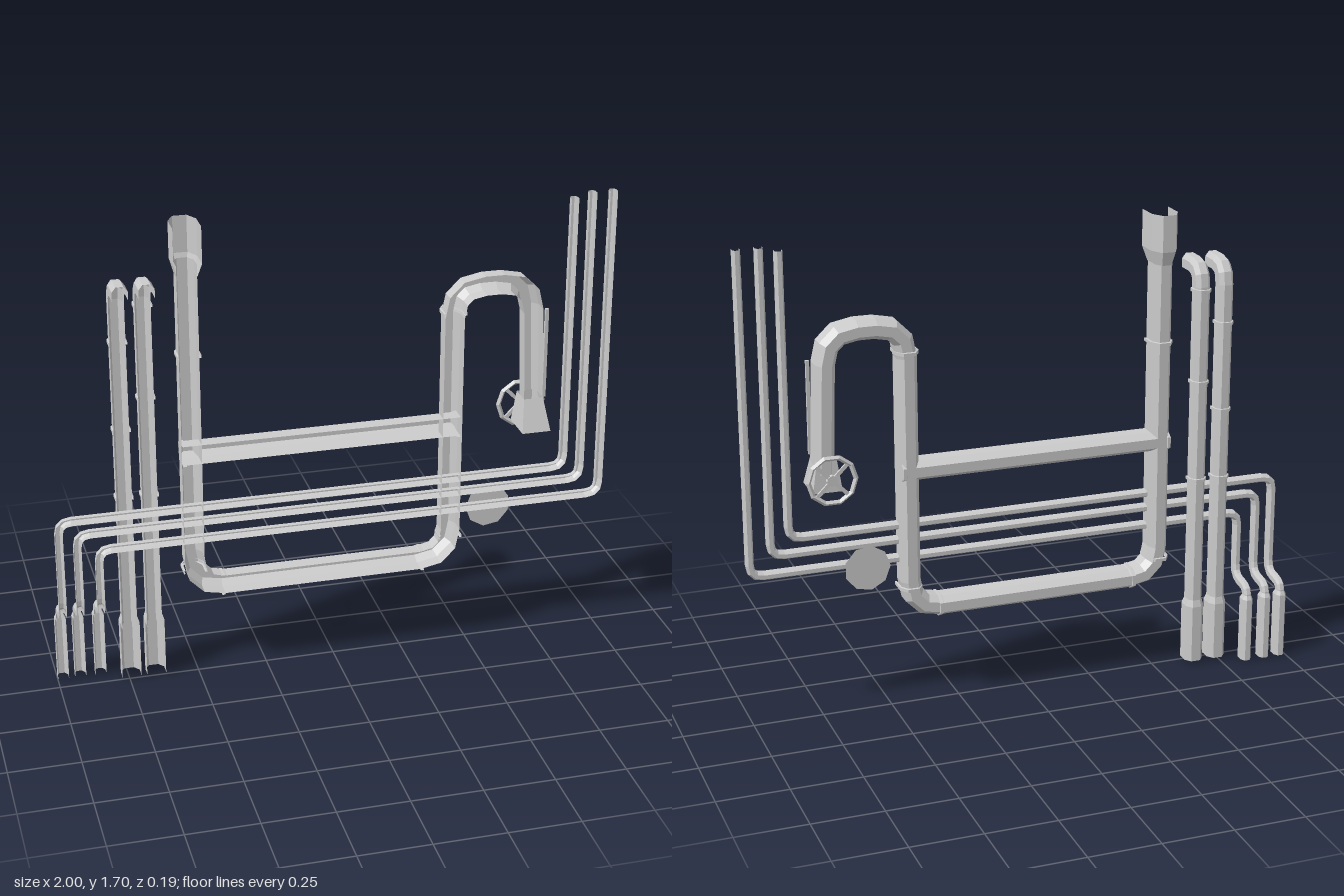
import * as THREE from 'three';

const material = new THREE.MeshStandardMaterial({ color: 0xcccccc, flatShading: true, side: THREE.DoubleSide });
const V = (x, y, z) => new THREE.Vector3(x, y, z);

function add(parent, name, geometry) {
  const mesh = new THREE.Mesh(geometry, material);
  mesh.name = name;
  parent.add(mesh);
  return mesh;
}

// Half-octagon profile: half width w, half depth h, open towards the front
const channel = (w, h, c = 0.5) => [[-w, -h], [-w, h * 0.3], [-w * c, h], [w * c, h], [w, h * 0.3], [w, -h]];

// Replaces each inner corner of a polyline by a short faceted bend
function rounded(points, radius, steps = 3) {
  const out = [points[0]];
  for (let i = 1; i < points.length - 1; i++) {
    const p = points[i];
    const toward = (q) => p.clone().add(q.clone().sub(p).setLength(Math.min(radius, p.distanceTo(q) * 0.49)));
    const curve = new THREE.QuadraticBezierCurve3(toward(points[i - 1]), p, toward(points[i + 1]));
    out.push(...curve.getPoints(steps));
  }
  out.push(points[points.length - 1]);
  return out;
}

// Sweeps a profile along a path with mitred joints; scales widen single rings
function sweep(path, profile, scales = []) {
  const dirs = path.slice(1).map((p, i) => p.clone().sub(path[i]).normalize());
  const back = V(0, 0, -1);
  const side = dirs[0].clone().cross(back).normalize();
  let ring = profile.map(([u, v]) => path[0].clone().addScaledVector(side, u).addScaledVector(back, v));
  const rings = [ring];
  for (let i = 1; i < path.length; i++) {
    const d = dirs[i - 1];
    const normal = d.clone().add(dirs[i] || d).normalize();
    ring = ring.map((q) => q.clone().addScaledVector(d, path[i].clone().sub(q).dot(normal) / d.dot(normal)));
    rings.push(ring);
  }
  const scaled = rings.map((r, i) => r.map((q) => q.clone().sub(path[i]).multiplyScalar(scales[i] ?? 1).add(path[i])));
  const positions = [];
  for (let i = 0; i < scaled.length - 1; i++) {
    for (let j = 0; j < profile.length - 1; j++) {
      const [a, b, c, d] = [scaled[i][j], scaled[i][j + 1], scaled[i + 1][j + 1], scaled[i + 1][j]];
      for (const q of [a, b, c, a, c, d]) positions.push(q.x, q.y, q.z);
    }
  }
  const geometry = new THREE.BufferGeometry();
  geometry.setAttribute('position', new THREE.Float32BufferAttribute(positions, 3));
  geometry.computeVertexNormals();
  return geometry;
}

// Short raised band around a pipe
function collar(parent, center, axis, profile, grow = 1.18) {
  const half = axis.clone().multiplyScalar(0.007);
  const path = [-1, -1, 1, 1].map((s, i) => center.clone().addScaledVector(half, s * (i % 3 ? 0.8 : 1)));
  add(parent, 'collar', sweep(path, profile, [1, grow, grow, 1]));
}

function createMainPipe() {
  const group = new THREE.Group();
  group.name = 'mainPipe';
  const profile = channel(0.035, 0.04);
  const z = 0.005;
  const X = V(1, 0, 0), Y = V(0, 1, 0);
  add(group, 'loopPipe', sweep(rounded([
    V(-0.51, 1.56, z), V(-0.51, 0.357, z), V(0.423, 0.357, z),
    V(0.423, 1.388, z), V(0.705, 1.388, z), V(0.722, 0.9, z),
  ], 0.11), profile));
  add(group, 'crossPipe', sweep([V(-0.54, 0.87, z), V(0.45, 0.87, z)], profile));
  // Widened mouth at the top
  add(group, 'pipeMouth', sweep([V(-0.51, 1.52, z), V(-0.51, 1.57, z), V(-0.51, 1.7, z)],
    channel(0.048, 0.064), [0.72, 1, 1]));
  for (const [x, y] of [[-0.51, 1.235], [-0.51, 0.425], [0.423, 1.295], [0.423, 0.44]]) {
    collar(group, V(x, y, z), Y, profile);
  }
  for (const [x, y] of [[-0.41, 0.357], [0.32, 0.357], [-0.535, 0.87], [0.445, 0.87]]) {
    collar(group, V(x, y, z), X, profile, 1.1);
  }
  // Narrow plate beside the hanging leg
  const plate = add(group, 'sidePlate', new THREE.BoxGeometry(0.012, 0.33, 0.012));
  plate.position.set(0.755, 1.12, 0.048);

  // Flared outlet under the hanging leg
  const hood = new THREE.CylinderGeometry(Math.SQRT1_2, Math.SQRT1_2, 1, 4, 1, true).rotateY(Math.PI / 4);
  const pos = hood.attributes.position;
  for (let i = 0; i < pos.count; i++) {
    const top = pos.getY(i) > 0;
    pos.setXYZ(i, 0.718 + pos.getX(i) * (top ? 0.07 : 0.104), top ? 0.95 : 0.838,
      (top ? 0.01 : 0.03) + pos.getZ(i) * (top ? 0.08 : 0.13));
  }
  hood.computeVertexNormals();
  add(group, 'outletHood', hood);
  return group;
}

function createHandwheel() {
  const group = new THREE.Group();
  group.name = 'handwheel';
  add(group, 'wheelRim', new THREE.TorusGeometry(0.083, 0.009, 4, 10));
  for (let i = 0; i < 2; i++) {
    const spoke = add(group, 'wheelSpoke', new THREE.BoxGeometry(0.16, 0.013, 0.008));
    spoke.rotation.z = Math.PI / 4 + i * Math.PI / 2;
  }
  add(group, 'wheelHub', new THREE.CylinderGeometry(0.02, 0.02, 0.016, 8).rotateX(Math.PI / 2));
  const stem = add(group, 'wheelStem', new THREE.CylinderGeometry(0.009, 0.009, 0.05, 6).rotateX(Math.PI / 2));
  stem.position.z = 0.025;
  group.position.set(0.71, 0.89, -0.063);
  return group;
}

// Thin conduit: down, across, down again, then stepped back into a socket
function createConduit(topX, topY, crossY, lowX) {
  const group = new THREE.Group();
  group.name = 'conduit';
  const profile = channel(0.0135, 0.015);
  const z = 0.025, backZ = -0.077;
  add(group, 'conduitPipe', sweep(rounded([
    V(topX, topY, z), V(topX, crossY, z), V(lowX, crossY, z),
    V(lowX, 0.295, z), V(lowX, 0.285, backZ), V(lowX, 0.23, backZ),
  ], 0.045), profile));
  add(group, 'conduitSocket', sweep([V(lowX, 0.255, backZ), V(lowX, 0.24, backZ), V(lowX, 0, backZ)],
    profile, [1, 1.45, 1.45]));
  return group;
}

// Upright pipe with a forward hook on top and a socket at the foot
function createUpright(x, collarHeights) {
  const group = new THREE.Group();
  group.name = 'uprightPipe';
  const profile = channel(0.027, 0.025);
  const z = -0.025;
  add(group, 'hookedPipe', sweep(rounded([V(x, 0.2, z), V(x, 1.498, z), V(x, 1.498, 0.09)], 0.07), profile));
  add(group, 'uprightSocket', sweep([V(x, 0.25, z), V(x, 0.225, z), V(x, 0.01, z)], profile, [1, 1.27, 1.27]));
  for (const y of collarHeights) collar(group, V(x, y, z), V(0, 1, 0), profile);
  return group;
}

export function createModel() {
  const model = new THREE.Group();
  model.name = 'pipework';
  model.add(createMainPipe(), createHandwheel());
  model.add(createConduit(0.845, 1.675, 0.665, -0.979));
  model.add(createConduit(0.91, 1.69, 0.61, -0.917));
  model.add(createConduit(0.985, 1.69, 0.543, -0.844));
  model.add(createUpright(-0.742, [0.715, 0.97, 1.29]));
  model.add(createUpright(-0.653, [0.715, 1.08, 1.415]));
  // Round cover plate
  const cover = add(model, 'coverDisc', new THREE.CircleGeometry(0.083, 9).rotateY(Math.PI));
  cover.position.set(0.575, 0.528, 0.005);
  return model;
}
